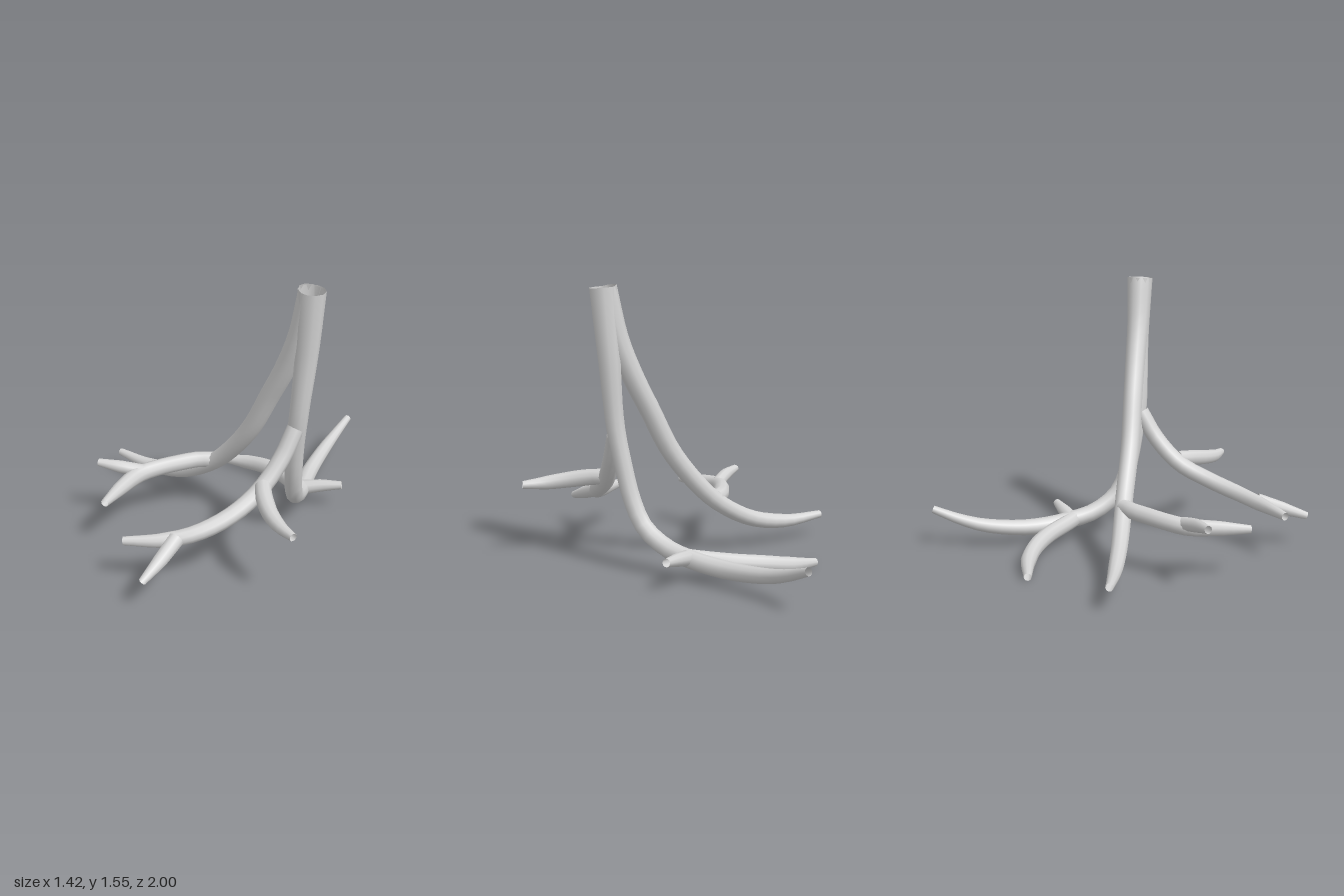
import * as THREE from 'three';

const bark = new THREE.MeshStandardMaterial({ color: 0xd4d4d4, side: THREE.DoubleSide });
bark.name = 'grey';

// Open tube through the points; radii are spread evenly along its length.
function taperedTube(name, points, radii, segments = 16, sides = 10) {
  const curve = new THREE.CatmullRomCurve3(points.map(p => new THREE.Vector3(...p)));
  const geometry = new THREE.TubeGeometry(curve, segments, 1, sides, false);
  const pos = geometry.attributes.position;
  const v = new THREE.Vector3();
  for (let i = 0; i <= segments; i++) {
    const u = i / segments;
    const centre = curve.getPointAt(u);
    const t = u * (radii.length - 1);
    const k = Math.min(Math.floor(t), radii.length - 2);
    const r = THREE.MathUtils.lerp(radii[k], radii[k + 1], t - k);
    for (let j = 0; j <= sides; j++) {
      const n = i * (sides + 1) + j;
      v.fromBufferAttribute(pos, n).sub(centre).multiplyScalar(r).add(centre);
      pos.setXYZ(n, v.x, v.y, v.z);
    }
  }
  const mesh = new THREE.Mesh(geometry, bark);
  mesh.name = name;
  return mesh;
}

export function createModel() {
  const model = new THREE.Group();
  model.name = 'branchingTubes';

  // Main stem, curving down and out to the back
  model.add(taperedTube('mainStem', [
    [0.507, 1.545, 0.27], [0.49, 1.2, 0.25], [0.455, 0.8, 0.235], [0.44, 0.62, 0.205],
    [0.43, 0.4, 0.15], [0.43, 0.257, 0.075], [0.437, 0.165, -0.06], [0.455, 0.125, -0.22],
    [0.482, 0.105, -0.46], [0.55, 0.13, -0.71], [0.61, 0.17, -0.85], [0.685, 0.23, -0.99],
  ], [0.075, 0.064, 0.054, 0.05, 0.05, 0.05, 0.049, 0.04, 0.022], 36));

  // Second stem, leaving the top and sweeping to the right and back
  model.add(taperedTube('sideStem', [
    [0.505, 1.54, 0.268], [0.445, 1.27, 0.225], [0.375, 1.07, 0.175], [0.29, 0.88, 0.12],
    [0.17, 0.62, 0.045], [0, 0.38, -0.07], [-0.11, 0.28, -0.135], [-0.285, 0.18, -0.235],
    [-0.49, 0.135, -0.355], [-0.7, 0.143, -0.48],
  ], [0.072, 0.062, 0.057, 0.055, 0.052, 0.049, 0.043, 0.022], 32));

  // Twigs at the foot of the main stem
  model.add(taperedTube('backTwig', [
    [0.445, 0.13, -0.2], [0.41, 0.12, -0.26], [0.32, 0.1, -0.41], [0.2, 0.078, -0.54],
    [0.07, 0.052, -0.63], [-0.105, 0.03, -0.7],
  ], [0.047, 0.048, 0.048, 0.044, 0.022]));
  model.add(taperedTube('shortTwig', [
    [0.45, 0.13, -0.21], [0.56, 0.15, -0.212], [0.69, 0.165, -0.208],
  ], [0.045, 0.037, 0.023], 6));

  // Branch and twigs of the side stem
  model.add(taperedTube('rightBranch', [
    [-0.06, 0.335, -0.105], [-0.15, 0.335, -0.09], [-0.24, 0.33, -0.05], [-0.365, 0.32, 0.015],
    [-0.46, 0.31, 0.09], [-0.53, 0.302, 0.24], [-0.59, 0.29, 0.41],
  ], [0.045, 0.047, 0.047, 0.049, 0.041, 0.023]));
  model.add(taperedTube('rightTwig', [
    [-0.44, 0.325, 0.075], [-0.57, 0.35, 0.09], [-0.7, 0.367, 0.085],
  ], [0.038, 0.037, 0.022], 6));

  // Front branch and its twigs
  model.add(taperedTube('frontBranch', [
    [0.442, 0.745, 0.245], [0.375, 0.59, 0.315], [0.27, 0.445, 0.42], [0.13, 0.355, 0.56],
    [-0.04, 0.3, 0.67], [-0.2, 0.275, 0.72], [-0.415, 0.265, 0.74],
  ], [0.048, 0.048, 0.048, 0.047, 0.042, 0.023], 20));
  model.add(taperedTube('frontLeftTwig', [
    [0.29, 0.472, 0.42], [0.305, 0.462, 0.51], [0.35, 0.44, 0.64], [0.41, 0.425, 0.74], [0.49, 0.42, 0.83],
  ], [0.045, 0.047, 0.041, 0.022], 10));
  model.add(taperedTube('frontRightTwig', [
    [-0.135, 0.285, 0.72], [-0.195, 0.235, 0.86], [-0.26, 0.19, 0.99],
  ], [0.045, 0.039, 0.022], 6));

  return model;
}
